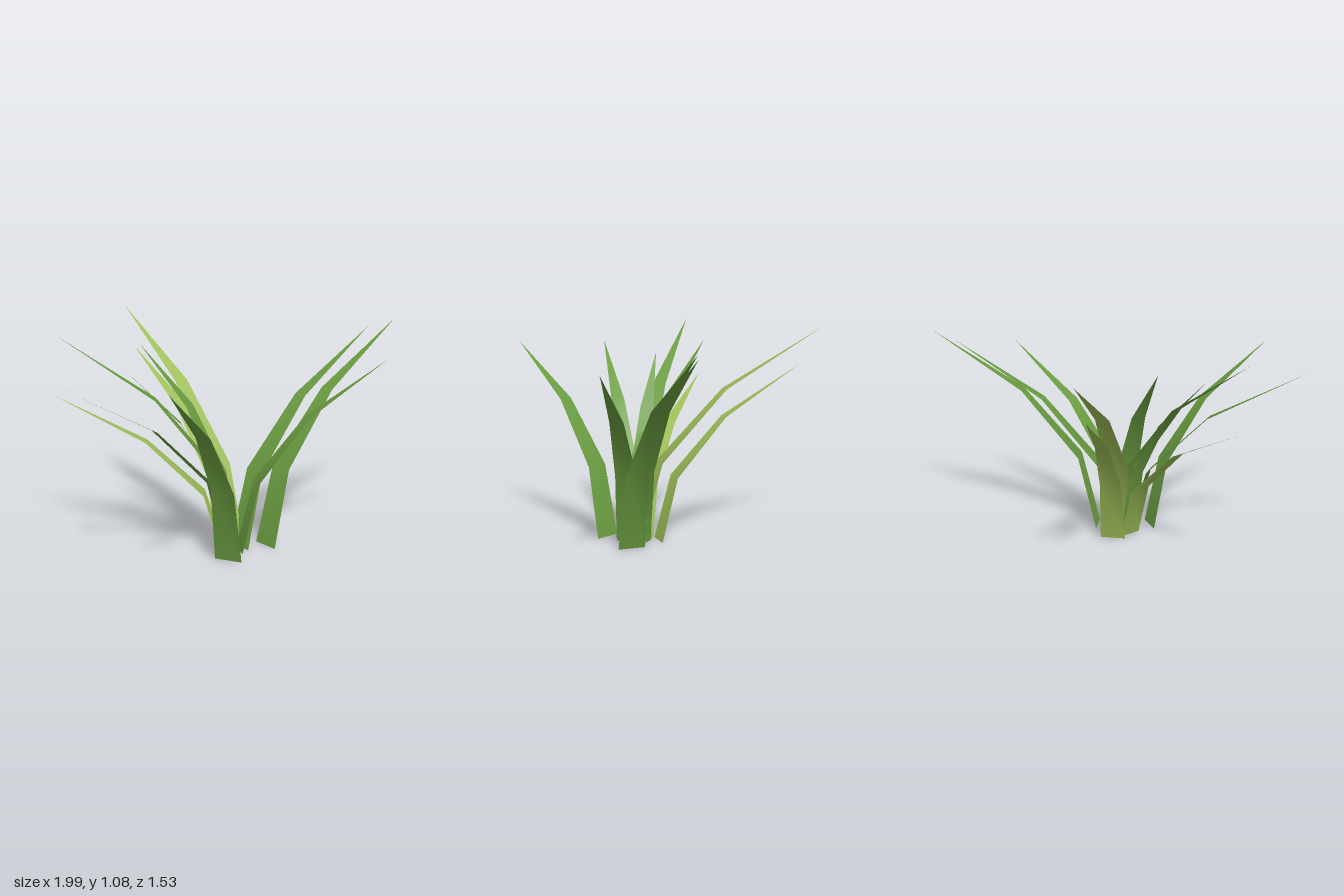
import * as THREE from 'three';

// Bending profile from root to tip: reach outwards, height, width (fractions)
const PROFILE = [
  [0, 0, 1],
  [0.11, 0.372, 0.85],
  [0.455, 0.71, 0.53],
  [1, 1, 0],
];

// Flat tapering ribbon that bends from its root towards its tip
function bladeGeometry(root, tip, halfWidth) {
  const [rx, rz] = root;
  const [tx, height, tz] = tip;
  const dx = tx - rx, dz = tz - rz, reach = Math.hypot(dx, dz);
  const sx = -dz / reach * halfWidth, sz = dx / reach * halfWidth;
  const positions = [], index = [];
  PROFILE.forEach(([out, up, width], i) => {
    const x = rx + dx * out, y = height * up, z = rz + dz * out;
    if (width === 0) {
      positions.push(x, y, z);
      return;
    }
    positions.push(x + sx * width, y, z + sz * width, x - sx * width, y, z - sz * width);
    const a = i * 2;
    index.push(a, a + 2, a + 1);
    if (PROFILE[i + 1][2] > 0) index.push(a + 1, a + 2, a + 3);
  });
  const geometry = new THREE.BufferGeometry();
  geometry.setAttribute('position', new THREE.Float32BufferAttribute(positions, 3));
  geometry.setIndex(index);
  geometry.computeVertexNormals();
  return geometry;
}

export function createModel() {
  const group = new THREE.Group();
  group.name = 'grassTuft';
  const green = new THREE.MeshStandardMaterial({ color: 0x6a9c40, side: THREE.DoubleSide });
  const lime = new THREE.MeshStandardMaterial({ color: 0x9ebd58, side: THREE.DoubleSide });

  // name, root [x, z], tip [x, y, z], half width, material
  const blades = [
    ['backTallBlade', [-0.05, 0.25], [-0.105, 1.08, -0.76], 0.067, lime],
    ['backShortBlade', [-0.03, 0.15], [-0.12, 0.88, -0.63], 0.065, lime],
    ['backRightLowBlade', [-0.1, 0.225], [-0.77, 0.77, -0.25], 0.065, lime],
    ['backRightTallBlade', [-0.05, 0.27], [-0.78, 1.08, -0.18], 0.067, green],
    ['backInnerBlade', [-0.06, 0.25], [-0.34, 1.0, -0.17], 0.068, green],
    ['rightInnerBlade', [-0.09, 0.24], [-0.53, 0.92, 0.05], 0.065, green],
    ['rightBlade', [-0.09, 0.28], [-1.0, 0.95, 0.255], 0.065, green],
    ['leftLongBlade', [0.1, 0.315], [0.985, 1.055, 0.2], 0.07, green],
    ['leftShortBlade', [-0.02, 0.26], [0.84, 1.02, 0.16], 0.068, green],
    ['frontLeftBlade', [-0.045, 0.3], [0.65, 0.94, 0.56], 0.065, green],
    ['frontRightBlade', [-0.17, 0.39], [-0.71, 0.98, 0.77], 0.07, green],
  ];
  for (const [name, root, tip, halfWidth, material] of blades) {
    const blade = new THREE.Mesh(bladeGeometry(root, tip, halfWidth), material);
    blade.name = name;
    group.add(blade);
  }
  return group;
}
